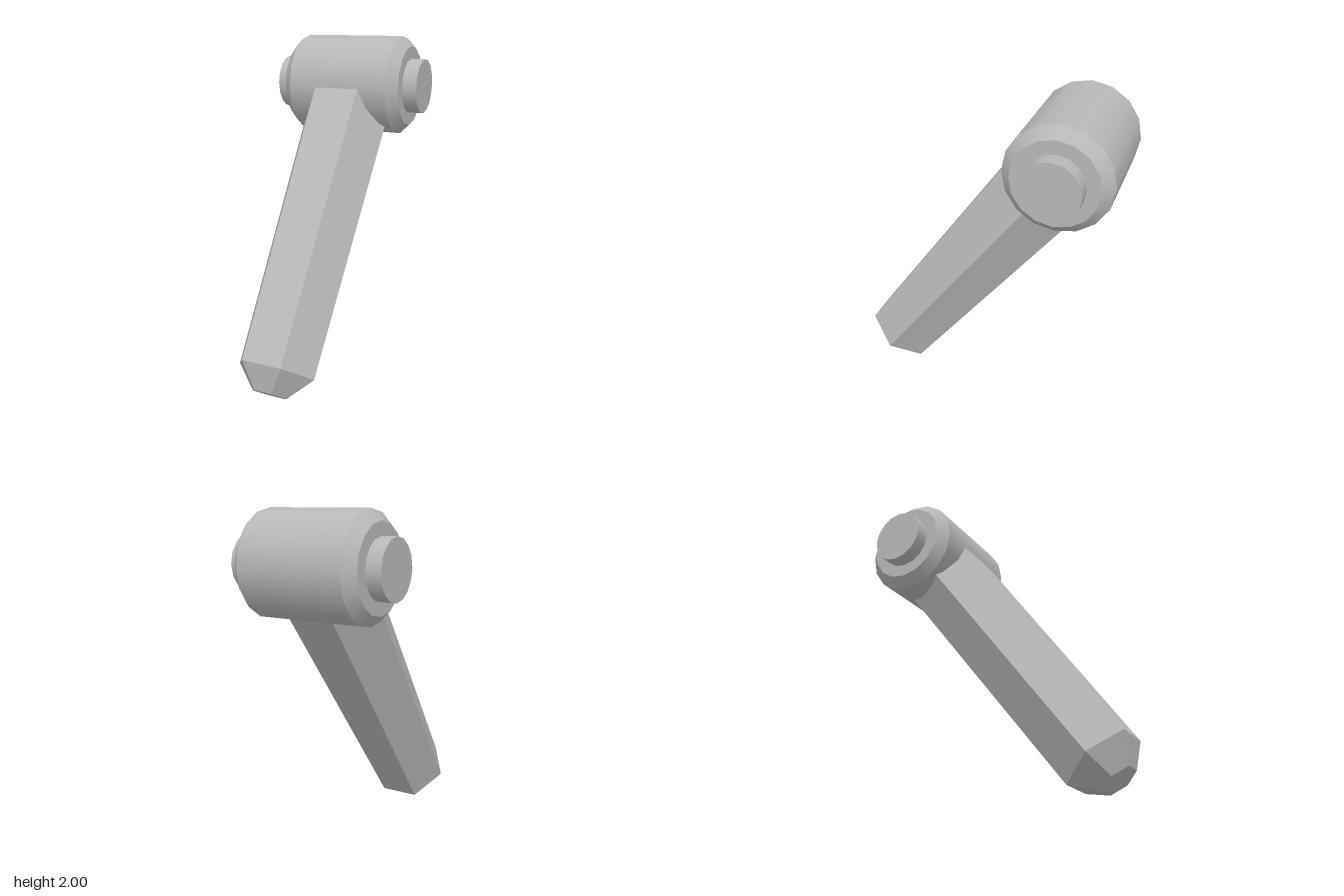
import * as THREE from 'three';

export function createModel() {
  const model = new THREE.Group();
  const grey = new THREE.MeshStandardMaterial({ name: 'grey', color: 0xb8b8b8 });

  const add = (parent, name, geometry) => {
    const mesh = new THREE.Mesh(geometry, grey);
    mesh.name = name;
    parent.add(mesh);
    return mesh;
  };

  // Everything hangs from the axis of the barrel
  const hinge = new THREE.Group();
  hinge.name = 'hinge';
  hinge.position.set(0, 1.695, -0.49);
  model.add(hinge);

  // Smooth 16-sided barrel lying along x, with a pin through it
  const sides = 16, radius = 0.305;
  add(hinge, 'barrel', new THREE.CylinderGeometry(radius, radius, 0.64, sides, 1, true).rotateZ(-Math.PI / 2));
  add(hinge, 'pin', new THREE.CylinderGeometry(0.168, 0.168, 0.94, sides).rotateZ(-Math.PI / 2));

  // Chamfered barrel ends
  for (const side of [1, -1]) {
    const end = new THREE.CylinderGeometry(0.245, radius, 0.06, sides).rotateZ(-side * Math.PI / 2);
    add(hinge, side > 0 ? 'leftBarrelEnd' : 'rightBarrelEnd', end).position.x = side * 0.35;
  }

  // Faceted hexagonal arm sloping down to the front, with corners at +x and -x
  const arm = new THREE.Group();
  arm.name = 'arm';
  arm.rotation.x = -0.634;
  hinge.add(arm);

  const hexSection = (name, topRadius, bottomRadius, topY, bottomY) => {
    const geometry = new THREE.CylinderGeometry(topRadius, bottomRadius, topY - bottomY, 6)
      .rotateY(Math.PI / 6).toNonIndexed();
    geometry.computeVertexNormals();
    add(arm, name, geometry).position.y = (topY + bottomY) / 2;
  };
  hexSection('armShaft', 0.285, 0.24, 0, -1.895);
  hexSection('armTip', 0.24, 0.11, -1.895, -2.029);

  return model;
}
